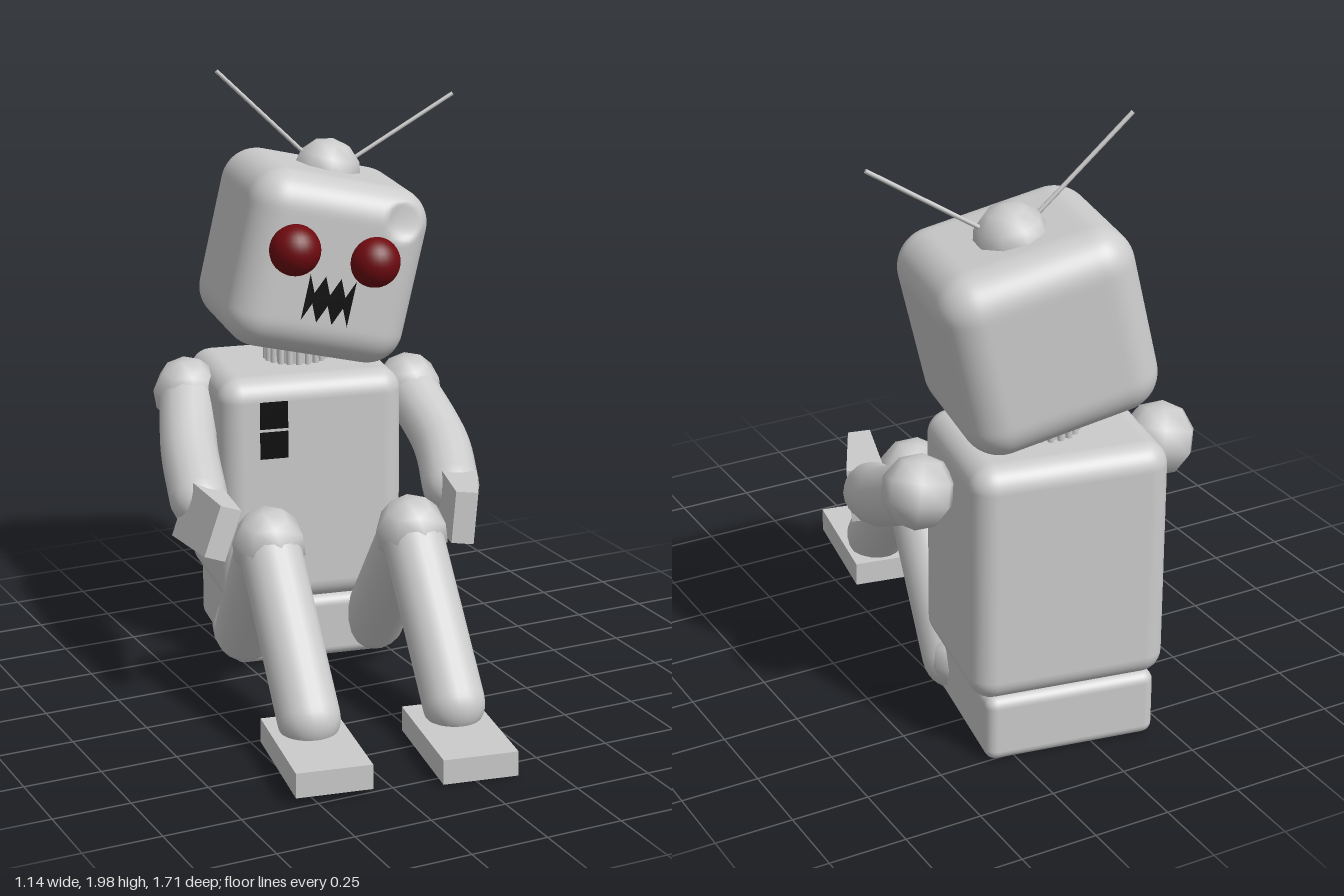
import * as THREE from 'three';
import { mergeVertices } from 'three/addons/utils/BufferGeometryUtils.js';
import { RoundedBoxGeometry } from 'three/addons/geometries/RoundedBoxGeometry.js';

const grey = new THREE.MeshStandardMaterial({ color: 0xcccccc });
const red = new THREE.MeshStandardMaterial({ color: 0x6e0a10 });
const black = new THREE.MeshStandardMaterial({ color: 0x0a0a0a, side: THREE.DoubleSide });
const rad = THREE.MathUtils.degToRad;
const vec = (p) => new THREE.Vector3(...p);
const YAW = rad(-10);

function add(parent, name, geometry, pos = [0, 0, 0], rot = [0, 0, 0], material = grey) {
  const m = new THREE.Mesh(geometry, material);
  m.name = name;
  m.position.set(...pos);
  m.rotation.set(...rot, 'YXZ');
  parent.add(m);
  return m;
}

// Straight part running from a to b
function between(parent, name, a, b, make) {
  const A = vec(a), d = vec(b).sub(A);
  const m = add(parent, name, make(d.length()), A.addScaledVector(d, 0.5).toArray());
  m.quaternion.setFromUnitVectors(new THREE.Vector3(0, 1, 0), d.normalize());
  return m;
}

const joint = (parent, name, pos, r) => add(parent, name, new THREE.SphereGeometry(r, 7, 5), pos, [0.3, YAW, 0.2]);

// Rounded cube with one shallow dent in the upper front corner
function headGeometry(w, h, d, r) {
  let g = new THREE.BoxGeometry(w, h, d, 40, 40, 40);
  g.deleteAttribute('uv');
  g.deleteAttribute('normal');
  g = mergeVertices(g, 1e-4);
  const p = g.attributes.position, v = new THREE.Vector3(), q = new THREE.Vector3();
  const inner = new THREE.Vector3(w / 2 - r, h / 2 - r, d / 2 - r);
  const dent = new THREE.Vector3(0.205, 0.205, 0.27);
  for (let i = 0; i < p.count; i++) {
    v.fromBufferAttribute(p, i);
    q.copy(v).clamp(inner.clone().negate(), inner);
    v.sub(q).setLength(r).add(q);
    const t = v.distanceTo(dent) / 0.065;
    if (t < 1) v.addScaledVector(v.clone().normalize(), -0.035 * (1 - t * t));
    p.setXYZ(i, v.x, v.y, v.z);
  }
  g.computeVertexNormals();
  return g;
}

// Row of joined sharp teeth
function mouthGeometry() {
  const pts = [], n = 7;
  for (let i = 0; i < n; i++) pts.push([-0.08 + i * 0.0267, i % 2 ? 0.018 : 0.078]);
  for (let i = n - 1; i >= 0; i--) pts.push([-0.08 + i * 0.0267, i % 2 ? -0.018 : -0.078]);
  return new THREE.ShapeGeometry(new THREE.Shape(pts.map((p) => new THREE.Vector2(...p))));
}

// Box whose far end is scaled down: along z for hands, along -y for the pelvis
function taperedBox(w, h, d, axis, sx, sOther) {
  const g = new THREE.BoxGeometry(w, h, d), p = g.attributes.position;
  for (let i = 0; i < p.count; i++) {
    if (axis === 'z' && p.getZ(i) > 0) p.setXYZ(i, p.getX(i) * sx, p.getY(i) * sOther, p.getZ(i));
    if (axis === 'y' && p.getY(i) < 0) p.setXYZ(i, p.getX(i) * sx, p.getY(i), p.getZ(i) * sOther);
  }
  g.computeVertexNormals();
  return g;
}

function addHead(root) {
  const head = new THREE.Group();
  head.name = 'head';
  head.position.set(0.087, 1.37, -0.53);
  head.rotation.set(0, YAW, rad(-13), 'YXZ');
  root.add(head);
  add(head, 'skull', headGeometry(0.62, 0.6, 0.575, 0.12));
  add(head, 'mouth', mouthGeometry(), [0, -0.09, 0.291], [0, 0, 0], black);

  add(root, 'rightEye', new THREE.SphereGeometry(0.085, 28, 18), [-0.095, 1.46, -0.265], [0, 0, 0], red);
  add(root, 'leftEye', new THREE.SphereGeometry(0.085, 28, 18), [0.175, 1.4, -0.23], [0, 0, 0], red);

  // Antenna dome and rods
  add(root, 'antennaDome', new THREE.SphereGeometry(0.118, 9, 6), [0.152, 1.64, -0.55], [0, YAW, rad(-13)]);
  const rod = (len) => new THREE.CylinderGeometry(0.007, 0.007, len, 8);
  between(root, 'rightAntenna', [0.1, 1.69, -0.56], [-0.21, 1.997, -0.62], rod);
  between(root, 'leftAntenna', [0.2, 1.66, -0.535], [0.57, 1.893, -0.44], rod);
}

function addBody(root) {
  const torso = new THREE.Group();
  torso.name = 'torso';
  torso.position.set(0.03, 0.618, -0.555);
  torso.rotation.y = YAW;
  root.add(torso);
  add(torso, 'chest', new RoundedBoxGeometry(0.63, 0.79, 0.525, 5, 0.075));
  for (const y of [0.277, 0.174])
    add(torso, 'chestPanel', new THREE.BoxGeometry(0.095, 0.092, 0.01), [-0.137, y, 0.262], [0, 0, 0], black);
  const pelvis = new RoundedBoxGeometry(0.55, 0.22, 0.525, 3, 0.035);
  add(torso, 'pelvis', pelvis, [0, -0.488, 0]);

  // Ribbed neck
  const neck = new THREE.Group();
  neck.name = 'neck';
  neck.position.set(0.04, 1.06, -0.56);
  root.add(neck);
  add(neck, 'neckCore', new THREE.CylinderGeometry(0.095, 0.095, 0.18, 20));
  for (let i = 0; i < 20; i++) {
    const a = (i / 20) * Math.PI * 2;
    add(neck, 'neckRib', new THREE.CylinderGeometry(0.011, 0.011, 0.18, 8),
      [0.1 * Math.cos(a), 0, 0.1 * Math.sin(a)]);
  }
}

function addLeg(root, side, hip, knee, ankle, foot) {
  const leg = new THREE.Group();
  leg.name = side + 'Leg';
  root.add(leg);
  const limb = (r) => (len) => new THREE.CapsuleGeometry(r, len, 8, 20);
  between(leg, 'thigh', hip, knee, limb(0.105));
  between(leg, 'shin', knee, ankle, limb(0.1));
  joint(leg, 'knee', knee, 0.122);
  joint(leg, 'hipJoint', [hip[0], hip[1] + 0.01, hip[2] - 0.03], 0.105);
  add(leg, 'foot', new THREE.BoxGeometry(0.24, 0.08, 0.43), foot, [0, YAW, 0]);
}

function addArm(root, side, path, hand, handRot) {
  const arm = new THREE.Group();
  arm.name = side + 'Arm';
  root.add(arm);
  const pts = path.map(vec);
  add(arm, 'sleeve', new THREE.TubeGeometry(new THREE.CatmullRomCurve3(pts), 16, 0.095, 16));
  add(arm, 'wrist', new THREE.SphereGeometry(0.095, 16, 10), path[path.length - 1]);
  joint(arm, 'shoulder', path[0], 0.118);
  add(arm, 'hand', taperedBox(0.12, 0.19, 0.26, 'z', 0.6, 0.9), hand, handRot.map(rad));
}

export function createModel() {
  const root = new THREE.Group();
  root.name = 'seatedRobot';
  addHead(root);
  addBody(root);
  addLeg(root, 'left', [0.21, 0.125, -0.3], [0.14, 0.58, 0.11], [0.08, 0.15, 0.52], [0.048, 0.065, 0.617]);
  addLeg(root, 'right', [-0.24, 0.135, -0.37], [-0.335, 0.59, 0.04], [-0.39, 0.16, 0.45], [-0.41, 0.083, 0.543]);
  addArm(root, 'left', [[0.445, 0.87, -0.51], [0.44, 0.74, -0.26], [0.375, 0.65, -0.06]],
    [0.325, 0.63, 0.1], [-4, -22, -5]);
  addArm(root, 'right', [[-0.33, 0.92, -0.63], [-0.41, 0.79, -0.43], [-0.465, 0.68, -0.22]],
    [-0.49, 0.65, -0.07], [-2, -5, -20]);
  return root;
}
